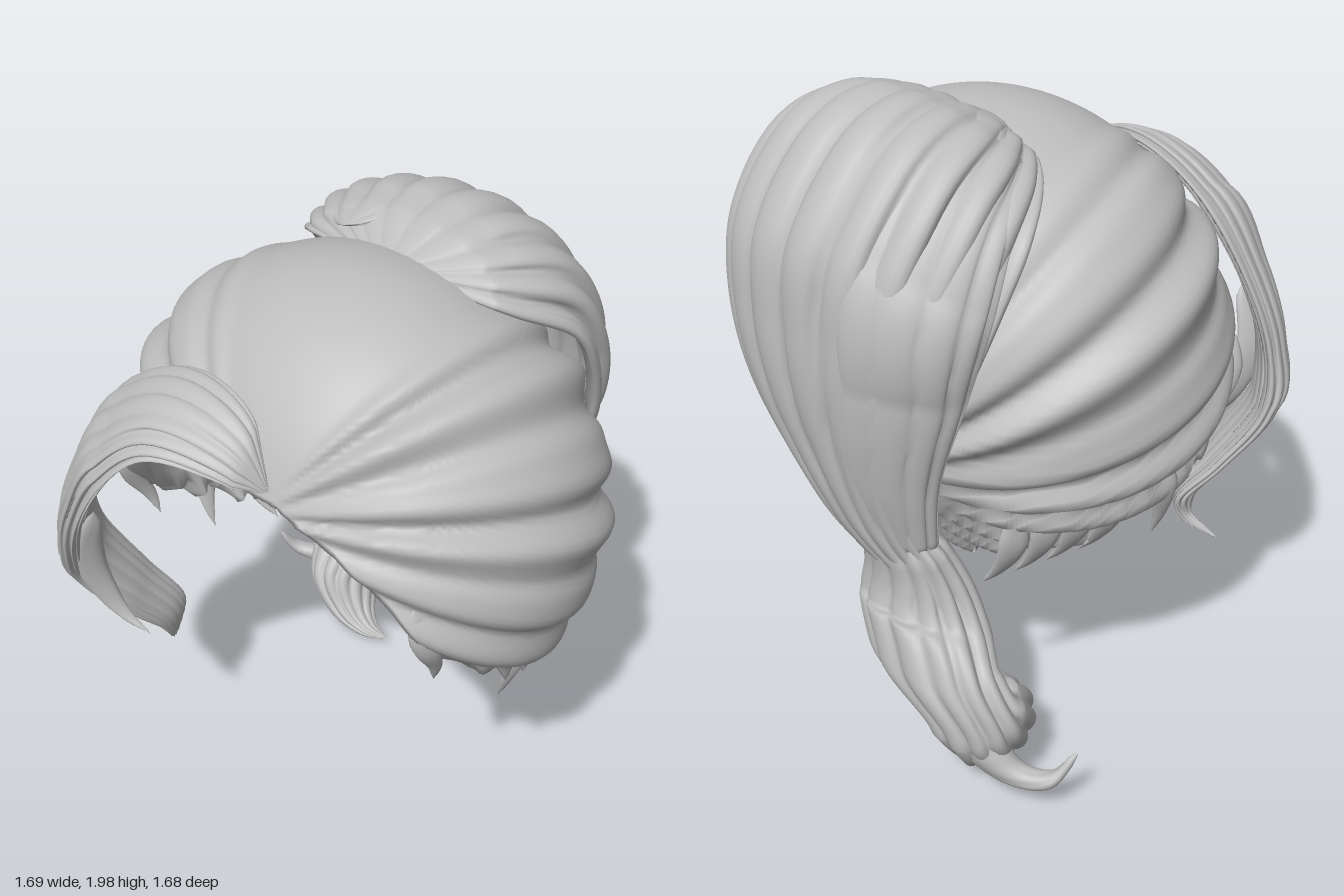
import * as THREE from 'three';

const hair = new THREE.MeshStandardMaterial({ color: 0xbcbcbc, side: THREE.DoubleSide });
hair.name = 'hair grey';
const V = (x, y, z) => new THREE.Vector3(x, y, z);
const smooth = THREE.MathUtils.smoothstep;

// Grid of points, wrapped around in the second direction
function gridMesh(name, rows, cols, point) {
  const pos = [], idx = [];
  for (let i = 0; i <= rows; i++) {
    for (let j = 0; j < cols; j++) {
      pos.push(...point(i, j).toArray());
      if (i === rows) continue;
      const k = (j + 1) % cols, a = i * cols + j, b = i * cols + k;
      idx.push(a, a + cols, b, b, a + cols, b + cols);
    }
  }
  const g = new THREE.BufferGeometry();
  g.setAttribute('position', new THREE.Float32BufferAttribute(pos, 3));
  g.setIndex(idx);
  g.computeVertexNormals();
  const m = new THREE.Mesh(g, hair);
  m.name = name;
  return m;
}

// Lock of hair between two edge rails; station = [left xyz, right xyz, thickness].
// It bulges fully on the outer side and by `inner` on the other (negative makes a
// crescent section), with combed ridges.
function lock(name, stations, { inner = 1, ridges = 7, depth = 0.12, rows = 70, cols = 96 } = {}) {
  const curve = (o) => new THREE.CatmullRomCurve3(stations.map((s) => V(s[o], s[o + 1], s[o + 2])));
  const left = curve(0), right = curve(3);
  const thick = new THREE.CatmullRomCurve3(stations.map((s) => V(s[6], 0, 0)));
  const mid = (t) => left.getPoint(t).add(right.getPoint(t)).multiplyScalar(0.5);
  const rings = [];
  for (let i = 0; i <= rows; i++) {
    const t = i / rows;
    const tangent = mid(Math.min(1, t + 0.01)).sub(mid(Math.max(0, t - 0.01))).normalize();
    const half = right.getPoint(t).sub(left.getPoint(t)).multiplyScalar(0.5);
    const out = half.clone().cross(tangent).normalize().multiplyScalar(thick.getPoint(t).x);
    const end = Math.sqrt(Math.min(1, i / 5, (rows - i) / 3));
    rings.push({ t, c: mid(t), half, out, end });
  }
  return gridMesh(name, rows, cols, (i, j) => {
    const { t, c, half, out, end } = rings[i], f = (j / cols) * Math.PI * 2;
    const wob = 0.5 * Math.sin(2 * f + 1) + 0.6 * Math.sin(t * 5);
    const r = end * (1 - depth * (1 - Math.sqrt(Math.abs(Math.sin(ridges * f + wob)))));
    const s = Math.sin(f) * r;
    return c.clone().addScaledVector(half, Math.cos(f) * r).addScaledVector(out, s > 0 ? s : s * inner);
  });
}

// Pointed wisp along a short path
function wisp(name, path, width, thickness) {
  const n = path.length - 1;
  return lock(name, path.map((p, i) => {
    const w = width * (1 - 0.95 * (i / n) ** 1.2);
    return [p[0] - w * 0.5, p[1], p[2] + w, p[0] + w * 0.5, p[1], p[2] - w, thickness * (1 - 0.9 * i / n)];
  }), { ridges: 2, rows: 20, cols: 24 });
}

// Height of the hairline by angle from the front, in degrees
const hairline = [[0, 1.45], [15, 1.43], [30, 1.34], [42, 1.2], [52, 1.03], [65, 0.91],
  [80, 0.82], [92, 0.76], [102, 0.7], [115, 0.65], [135, 0.62], [181, 0.585]];
function edgeHeight(a) {
  const d = Math.abs(THREE.MathUtils.radToDeg(a));
  const k = hairline.findIndex((h) => h[0] > d), [d0, y0] = hairline[k - 1], [d1, y1] = hairline[k];
  return y0 + (y1 - y0) * (d - d0) / (d1 - d0);
}

// Ragged tips along the lower edge, calmer at the nape
function raggedness(a) {
  const d = Math.abs(THREE.MathUtils.radToDeg(a));
  const jag = Math.abs(Math.sin(a * 11 + Math.sin(a * 5))) * 0.7 + Math.abs(Math.sin(a * 23)) * 0.3;
  return (0.55 - jag) * 0.1 * smooth(d, 45, 80) * (1 - 0.75 * smooth(d, 130, 155));
}

// Swept-back shell: combed outside, smooth inside, open at the face
function makeCap() {
  const centre = V(0.02, 1.17, 0), ry = 0.73, cols = 280, rows = 96, outer = 72;
  const axis = V(0.14, 0.24, 0.65).normalize();
  const up = V(0, 1, 0).addScaledVector(axis, -axis.y).normalize();
  const side = up.clone().cross(axis);
  return gridMesh('cap', rows, cols, (i, j) => {
    const a = (j / cols) * Math.PI * 2 - Math.PI;
    const f = i <= outer ? i / outer : (rows - i) / (rows - outer - 1);
    const t = Math.acos((edgeHeight(a) - centre.y) / ry) * f + raggedness(a) * f ** 14;
    const p = V(0.79 * Math.sin(t) * Math.sin(a), ry * Math.cos(t),
      (Math.cos(a) > 0 ? 0.62 : 0.66) * Math.sin(t) * Math.cos(a));
    if (i > outer) return p.multiplyScalar(0.95).add(centre);
    const n = p.clone().normalize(), u = n.dot(side), v = n.dot(up);
    const ang = Math.atan2(u, v), away = Math.min(1, Math.hypot(u, v) * 1.6);
    const panel = smooth(Math.abs(ang), 0.5, 0.75) * away;
    const wave = Math.sin(12 * ang + 0.9 * Math.sin(3 * ang)) ** 2;
    const ridge = Math.sqrt(wave + 0.04) + 0.15 * Math.sin(31 * ang + Math.sin(4 * ang));
    return p.addScaledVector(n, panel * (ridge * 0.05 - 0.015)).add(centre);
  });
}

export function createModel() {
  const g = new THREE.Group();
  g.name = 'hairstyle';
  g.add(makeCap());

  // Forelock sweeping across the brow and down one side
  g.add(lock('forelock', [
    [0.21, 1.45, 0.6, 0.2, 1.53, 0.55, 0.03],
    [0.1, 1.52, 0.67, 0.06, 1.66, 0.5, 0.05],
    [-0.1, 1.54, 0.76, -0.15, 1.68, 0.47, 0.06],
    [-0.23, 1.42, 0.82, -0.38, 1.58, 0.47, 0.07],
    [-0.34, 1.24, 0.84, -0.57, 1.35, 0.5, 0.07],
    [-0.43, 1.05, 0.81, -0.68, 1.1, 0.52, 0.07],
    [-0.48, 0.88, 0.74, -0.7, 0.92, 0.49, 0.07],
    [-0.43, 0.72, 0.62, -0.6, 0.72, 0.4, 0.06],
    [-0.42, 0.58, 0.5, -0.5, 0.57, 0.33, 0.05],
    [-0.46, 0.47, 0.43, -0.52, 0.5, 0.36, 0.03],
    [-0.62, 0.45, 0.41, -0.63, 0.46, 0.4, 0.008],
  ], { inner: 0.4, ridges: 7, depth: 0.2 }));
  g.add(wisp('forelockWisp',
    [[-0.4, 1.2, 0.73], [-0.46, 1.0, 0.73], [-0.44, 0.84, 0.69], [-0.39, 0.75, 0.66], [-0.31, 0.7, 0.63]], 0.06, 0.03));

  // Full ponytail over the crown, narrowing at the nape
  g.add(lock('ponytail', [
    [-0.25, 1.85, -0.1, 0.3, 1.85, -0.1, 0.07],
    [-0.43, 1.78, -0.22, 0.43, 1.79, -0.2, 0.23],
    [-0.54, 1.67, -0.37, 0.53, 1.69, -0.37, 0.33],
    [-0.54, 1.5, -0.47, 0.54, 1.52, -0.47, 0.36],
    [-0.5, 1.29, -0.55, 0.5, 1.3, -0.55, 0.3],
    [-0.43, 1.06, -0.6, 0.36, 1.06, -0.6, 0.22],
    [-0.37, 0.85, -0.62, 0.13, 0.85, -0.62, 0.14],
    [-0.4, 0.66, -0.58, -0.06, 0.66, -0.58, 0.09],
    [-0.41, 0.54, -0.56, -0.14, 0.54, -0.56, 0.05],
  ], { inner: -0.6, ridges: 10, depth: 0.12, cols: 150 }));
  g.add(lock('ponytailBand', [
    [-0.36, 1.84, -0.18, -0.05, 1.93, -0.14, 0.05],
    [-0.52, 1.7, -0.42, -0.12, 1.91, -0.45, 0.07],
    [-0.55, 1.5, -0.52, -0.15, 1.66, -0.72, 0.08],
    [-0.5, 1.25, -0.57, -0.17, 1.28, -0.78, 0.08],
    [-0.42, 0.97, -0.6, -0.15, 0.98, -0.75, 0.07],
    [-0.38, 0.7, -0.58, -0.18, 0.7, -0.64, 0.06],
  ], { inner: 0.3, ridges: 5 }));

  // Hanging tail with its two curled ends
  g.add(lock('tail', [
    [-0.36, 0.87, -0.66, -0.08, 0.83, -0.66, 0.06],
    [-0.45, 0.64, -0.57, -0.05, 0.62, -0.57, 0.11],
    [-0.52, 0.51, -0.56, -0.03, 0.47, -0.56, 0.14],
    [-0.64, 0.4, -0.61, -0.13, 0.33, -0.61, 0.14],
    [-0.71, 0.26, -0.59, -0.36, 0.26, -0.59, 0.14],
    [-0.65, 0.12, -0.51, -0.4, 0.19, -0.51, 0.15],
    [-0.5, 0.02, -0.45, -0.37, 0.12, -0.45, 0.1],
    [-0.35, 0.01, -0.42, -0.31, 0.07, -0.42, 0.05],
    [-0.22, 0.05, -0.41, -0.22, 0.06, -0.41, 0.008],
  ], { ridges: 6, depth: 0.18 }));
  g.add(lock('tailCurl', [
    [-0.62, 0.32, -0.62, -0.5, 0.28, -0.62, 0.07],
    [-0.69, 0.2, -0.61, -0.55, 0.13, -0.61, 0.06],
    [-0.73, 0.15, -0.58, -0.7, 0.08, -0.58, 0.04],
    [-0.8, 0.15, -0.53, -0.81, 0.1, -0.53, 0.03],
    [-0.84, 0.22, -0.47, -0.86, 0.21, -0.47, 0.008],
  ], { ridges: 2, rows: 40, cols: 32 }));

  // Loose wisps at the temples, ears and neck, on both sides
  for (const s of [-1, 1]) {
    g.add(wisp('templeWisp', [[s * 0.6, 1.2, 0.42], [s * 0.63, 1.05, 0.39], [s * 0.62, 0.95, 0.34], [s * 0.6, 0.87, 0.32]], 0.05, 0.03));
    g.add(wisp('earWisp', [[s * 0.69, 0.93, 0.03], [s * 0.69, 0.82, 0.04], [s * 0.67, 0.73, 0.05], [s * 0.64, 0.64, 0.05]], 0.05, 0.03));
    for (let k = 0; k < 4; k++) {
      const x = s * (0.67 - k * 0.05), z = -0.13 - k * 0.085, y = 0.77 - k * 0.025;
      g.add(wisp('neckWisp', [[x - s * 0.02, y + 0.14, z], [x - s * 0.04, y, z], [x - s * 0.09, y - 0.09, z - 0.01], [x - s * 0.14, y - 0.15, z - 0.03]], 0.055, 0.03));
    }
  }
  return g;
}
